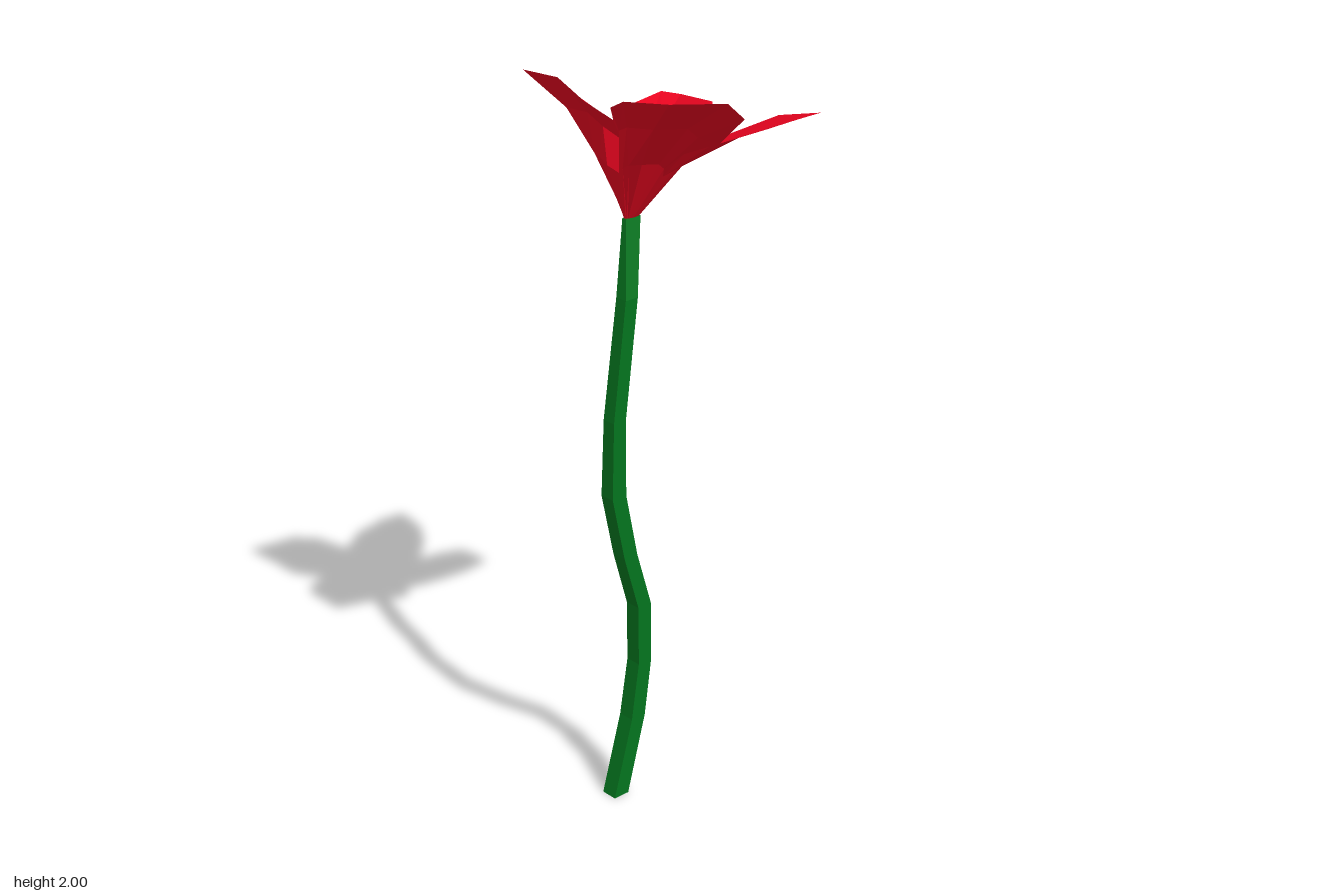
import * as THREE from 'three';

// Skins a list of equal-length point loops, bottom to top, with flat facets.
function skin(rings, capped) {
  const n = rings[0].length;
  const index = [];
  for (let r = 0; r < rings.length - 1; r++) {
    for (let i = 0; i < n; i++) {
      const j = (i + 1) % n;
      const a = r * n + i, b = r * n + j, c = a + n, d = b + n;
      index.push(a, c, b, b, c, d);
    }
  }
  if (capped) {
    const top = (rings.length - 1) * n;
    for (let i = 1; i < n - 1; i++) {
      index.push(0, i, i + 1, top, top + i + 1, top + i);
    }
  }
  const geometry = new THREE.BufferGeometry();
  geometry.setAttribute('position', new THREE.Float32BufferAttribute(rings.flat(2), 3));
  geometry.setIndex(index);
  const flat = geometry.toNonIndexed();
  flat.computeVertexNormals();
  return flat;
}

export function createModel() {
  const group = new THREE.Group();
  const red = new THREE.MeshStandardMaterial({
    name: 'petal red', color: 0xec0420, flatShading: true, side: THREE.DoubleSide,
  });
  const green = new THREE.MeshStandardMaterial({
    name: 'stem green', color: 0x04741e, flatShading: true,
  });

  // Bent square stem: height, centre x, centre z, half width, half depth
  const stations = [
    [0, -0.005, 0.217, 0.024, 0.024],
    [0.22, -0.005, 0.154, 0.024, 0.023],
    [0.38, -0.005, 0.128, 0.023, 0.022],
    [0.55, -0.005, 0.128, 0.023, 0.022],
    [0.71, -0.005, 0.174, 0.022, 0.022],
    [0.89, -0.005, 0.211, 0.022, 0.023],
    [1.1, -0.005, 0.205, 0.02, 0.02],
    [1.42, -0.005, 0.16, 0.018, 0.02],
    [1.61, -0.044, 0.109, 0.007, 0.024],
  ];
  const stemRings = stations.map(([y, x, z, w, d]) => [
    [x - w, y, z - d], [x + w, y, z - d], [x + w, y, z + d], [x - w, y, z + d],
  ]);
  const stem = new THREE.Mesh(skin(stemRings, true), green);
  stem.name = 'stem';
  group.add(stem);

  // Rim of the blossom: four petals separated by notches
  const rim = [
    [-0.215, 1.79, 0.005], // left notch
    [-0.26, 1.815, -0.085], [-0.285, 1.82, -0.21], [-0.295, 1.795, -0.288],
    [-0.15, 1.81, -0.265], [-0.08, 1.79, -0.21],
    [-0.02, 1.755, -0.13], // back notch
    [0.03, 1.79, -0.22], [0.09, 1.825, -0.268], [0.23, 1.86, -0.275],
    [0.245, 1.865, -0.175], [0.23, 1.855, -0.085],
    [0.19, 1.835, 0.03], // right notch
    [0.315, 1.93, 0.07], [0.32, 1.98, 0.13], [0.285, 2.0, 0.282],
    [0.13, 1.975, 0.285], [0.055, 1.94, 0.26],
    [-0.015, 1.88, 0.19], // front notch
    [-0.06, 1.93, 0.245], [-0.15, 1.97, 0.25], [-0.27, 1.967, 0.26],
    [-0.32, 1.88, 0.09], [-0.3, 1.84, 0.04],
  ];

  // Loops from the closed floor, over the narrow foot and funnel, out to the rim
  const foot = [-0.045, 1.61, 0.107];
  const offsets = rim.map((p) => p.map((v, k) => v - foot[k]));
  const loop = (fn) => offsets.map(([dx, dy, dz]) => {
    const [x, y, z] = fn(dx, dy, dz, Math.hypot(dx, dz));
    return [foot[0] + x, foot[1] + y, foot[2] + z];
  });
  const petalRings = [
    loop(() => [0, 0.03, 0]),
    loop((dx, dy, dz, r) => [0.012 * dx / r, 0.015, 0.025 * dz / r]),
    loop((dx, dy, dz, r) => [0.009 * dx / r, 0, 0.025 * dz / r]),
    loop((dx, dy, dz, r) => {
      const s = (0.05 + 0.16 * r) / r;
      return [dx * s, 0.05 + 0.3 * dy, dz * s];
    }),
    loop((dx, dy, dz) => [dx * 0.6, dy * (0.92 - 0.47 * dy), dz * 0.6]),
    rim,
  ];
  const petals = new THREE.Mesh(skin(petalRings, false), red);
  petals.name = 'petals';
  group.add(petals);

  return group;
}
